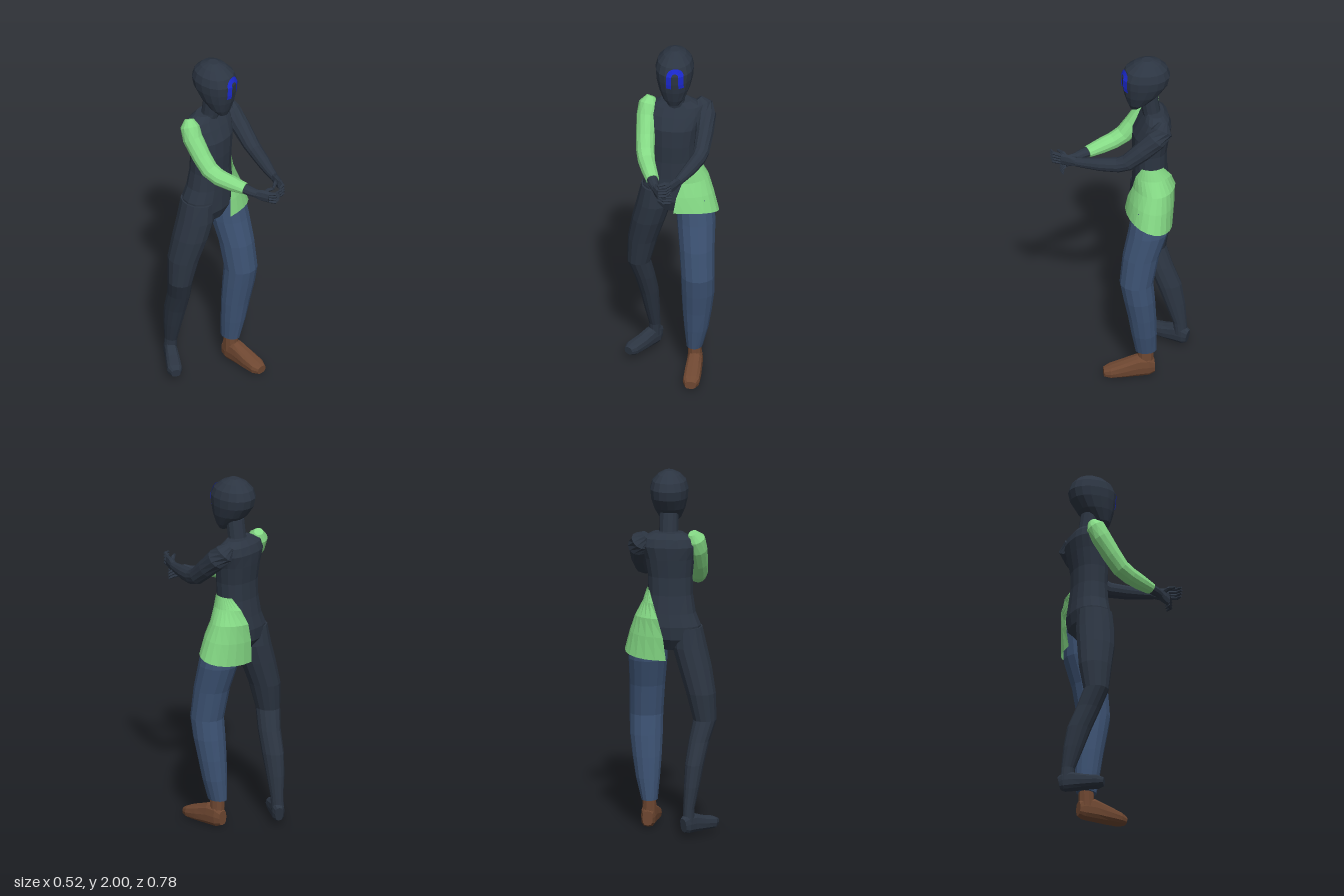
import * as THREE from 'three';

const mat = (name, color) => Object.assign(new THREE.MeshStandardMaterial({ color }), { name });
const V = (x, y, z) => new THREE.Vector3(x, y, z);
const UP = V(0, 1, 0), FRONT = V(0, 0, 1);

// Faceted geometry from points and triangle indices
function faceted(points, index) {
  const g = new THREE.BufferGeometry().setFromPoints(points);
  g.setIndex(index);
  const flat = g.toNonIndexed();
  flat.computeVertexNormals();
  return flat;
}

// Loft of oval rings [x, y, z, sideRadius, refRadius]; ring axis follows the path unless fixed
function loft(rings, ref, sides = 12, axis = null, power = 1) {
  const c = rings.map(r => V(r[0], r[1], r[2]));
  const pts = [], idx = [], n = rings.length;
  const bend = s => Math.sign(s) * Math.abs(s) ** power;
  rings.forEach((r, i) => {
    const d = axis || c[Math.min(i + 1, n - 1)].clone().sub(c[Math.max(i - 1, 0)]).normalize();
    const u = d.clone().cross(ref).normalize(), v = u.clone().cross(d);
    for (let j = 0; j < sides; j++) {
      const t = (j / sides) * Math.PI * 2;
      pts.push(c[i].clone().addScaledVector(u, r[3] * bend(Math.cos(t)))
        .addScaledVector(v, (r[4] ?? r[3]) * bend(Math.sin(t))));
    }
  });
  for (let i = 0; i < n; i++) for (let j = 0; j < sides; j++) {
    const k = (j + 1) % sides, a = i * sides;
    if (i < n - 1) idx.push(a + j, a + sides + j, a + k, a + k, a + sides + j, a + sides + k);
    if (i === 0) idx.push(n * sides, j, k);
    if (i === n - 1) idx.push(n * sides + 1, a + k, a + j);
  }
  pts.push(c[0], c[n - 1]);
  return faceted(pts, idx);
}

export function createModel() {
  const dark = mat('charcoal', 0x2c3542), green = mat('leafGreen', 0x85da85);
  const denim = mat('denimBlue', 0x3d5374), brown = mat('shoeBrown', 0x6e4731);
  const blue = mat('markBlue', 0x1b29d0);
  green.side = blue.side = THREE.DoubleSide;
  const model = new THREE.Group();
  model.name = 'figure';
  const add = (name, geo, m) => {
    const mesh = new THREE.Mesh(geo, m);
    mesh.name = name;
    model.add(mesh);
  };

  // Head: [y, halfWidth, frontZ, backZ]
  const HX = 0.02;
  const skull = [
    [1.695, 0.03, -0.045, -0.09], [1.73, 0.06, -0.03, -0.14], [1.79, 0.086, -0.012, -0.21],
    [1.85, 0.101, -0.002, -0.253], [1.9, 0.105, 0, -0.265], [1.945, 0.093, -0.02, -0.25],
    [1.98, 0.062, -0.065, -0.215], [2.0, 0.025, -0.11, -0.17]];
  add('head', loft(skull.map(([y, w, f, b]) => [HX, y, (f + b) / 2, w, (f - b) / 2]), FRONT, 16, UP, 0.92), dark);
  add('neck', loft([[0.02, 1.62, -0.175, 0.066, 0.055], [0.02, 1.67, -0.16, 0.052, 0.05],
    [0.02, 1.77, -0.145, 0.052, 0.05]], FRONT, 12, UP), dark);

  // Arch-shaped face mark, laid on the curve of the face
  const faceZ = (x, y) => {
    const i = skull.findIndex(s => s[0] >= y), a = skull[i - 1], b = skull[i];
    const [, w, f, k] = a.map((s, j) => THREE.MathUtils.lerp(s, b[j], (y - a[0]) / (b[0] - a[0])));
    return (f + k) / 2 + (f - k) / 2 * Math.sqrt(1 - ((x - HX) / w) ** 2) + 0.005;
  };
  const mark = [], markIdx = [];
  const markRow = (ox, oy, ix, iy) => {
    for (const [x, y] of [[ox, oy], [ix, iy]]) mark.push(V(0.033 + x, y, faceZ(0.033 + x, y)));
  };
  for (const y of [1.825, 1.85, 1.875]) markRow(-0.047, y, -0.019, y);
  for (let i = 0; i <= 8; i++) {
    const t = Math.PI * (1 - i / 8), c = Math.cos(t), s = Math.sin(t);
    markRow(0.047 * c, 1.9 + 0.045 * s, 0.019 * c, 1.9 + 0.019 * s);
  }
  for (const y of [1.875, 1.85, 1.825]) markRow(0.047, y, 0.019, y);
  for (let i = 0; i < mark.length - 2; i += 2) markIdx.push(i, i + 1, i + 2, i + 1, i + 3, i + 2);
  add('faceMark', faceted(mark, markIdx.reverse()), blue);

  // Torso and hips
  add('torso', loft([
    [0.0, 1.015, -0.15, 0.06, 0.07], [-0.005, 1.08, -0.16, 0.15, 0.105], [0.0, 1.15, -0.165, 0.157, 0.107],
    [0.01, 1.22, -0.16, 0.138, 0.1], [0.01, 1.32, -0.155, 0.122, 0.092], [0.012, 1.42, -0.152, 0.122, 0.094],
    [0.015, 1.52, -0.16, 0.135, 0.1], [0.02, 1.59, -0.18, 0.152, 0.088], [0.025, 1.635, -0.185, 0.14, 0.07],
    [0.022, 1.665, -0.18, 0.085, 0.05]], FRONT, 16, UP, 0.85), dark);

  // Half skirt wrapping the left hip: [y, centreX, centreZ, radiusX, radiusZ, halfAngle, tilt]
  const skirt = [
    [1.345, 0.015, -0.155, 0.125, 0.105, 0.6, 0], [1.28, 0.02, -0.163, 0.14, 0.115, 1.02, 0],
    [1.2, 0.03, -0.17, 0.172, 0.12, 1.36, 0], [1.11, 0.04, -0.156, 0.193, 0.126, 1.58, 0.015],
    [1.0, 0.05, -0.143, 0.212, 0.128, 1.7, 0.035]];
  const cloth = [], clothIdx = [], N = 12;
  skirt.forEach(([y, cx, cz, rx, rz, h, k], i) => {
    for (let j = 0; j <= N; j++) {
      const t = h * (2 * j / N - 1);
      cloth.push(V(cx + rx * Math.cos(t), y + k * Math.sin(t), cz + rz * Math.sin(t)));
      const a = i * (N + 1) + j, b = a + N + 1;
      if (i < skirt.length - 1 && j < N) clothIdx.push(a, a + 1, b, a + 1, b + 1, b);
    }
  });
  add('halfSkirt', faceted(cloth, clothIdx), green);

  // Left leg and shoe
  add('leftTrouserLeg', loft([
    [0.13, 0.16, -0.117, 0.045, 0.058], [0.14, 0.28, -0.105, 0.066, 0.07], [0.146, 0.4, -0.093, 0.08, 0.078],
    [0.152, 0.52, -0.077, 0.09, 0.087], [0.153, 0.63, -0.062, 0.092, 0.092], [0.145, 0.8, -0.088, 0.097, 0.1],
    [0.137, 0.95, -0.13, 0.106, 0.11], [0.125, 1.1, -0.15, 0.1, 0.105]], FRONT, 14, UP), denim);
  add('leftAnkle', loft([[0.132, 0.07, -0.115, 0.04, 0.045], [0.13, 0.18, -0.117, 0.036, 0.043]], FRONT, 10, UP), brown);
  add('leftShoe', loft([
    [0.135, 0.06, -0.162, 0.028, 0.04], [0.135, 0.066, -0.13, 0.04, 0.06], [0.135, 0.067, -0.07, 0.043, 0.062],
    [0.133, 0.052, 0.01, 0.047, 0.047], [0.131, 0.04, 0.08, 0.046, 0.034], [0.13, 0.035, 0.115, 0.03, 0.022]],
    UP, 12, FRONT, 0.7), brown);

  // Right leg and turned-out foot
  add('rightLeg', loft([
    [-0.11, 0.08, -0.342, 0.033, 0.038], [-0.11, 0.16, -0.335, 0.031, 0.038], [-0.123, 0.28, -0.31, 0.043, 0.056],
    [-0.135, 0.4, -0.28, 0.052, 0.068], [-0.155, 0.52, -0.235, 0.057, 0.068], [-0.182, 0.63, -0.2, 0.064, 0.07],
    [-0.16, 0.78, -0.195, 0.082, 0.092], [-0.125, 0.92, -0.175, 0.093, 0.105],
    [-0.095, 1.03, -0.165, 0.096, 0.108], [-0.085, 1.14, -0.162, 0.08, 0.1]], FRONT, 14, UP), dark);
  add('rightFoot', loft([
    [-0.085, 0.075, -0.375, 0.022, 0.04], [-0.1, 0.08, -0.355, 0.034, 0.053], [-0.13, 0.08, -0.315, 0.036, 0.053],
    [-0.17, 0.07, -0.265, 0.04, 0.042], [-0.22, 0.062, -0.205, 0.042, 0.034], [-0.238, 0.06, -0.178, 0.026, 0.022]],
    UP, 12, null, 0.75), dark);

  // Arms
  add('rightSleeve', loft([
    [-0.115, 1.665, -0.195, 0.025], [-0.128, 1.63, -0.178, 0.053], [-0.135, 1.57, -0.15, 0.056],
    [-0.135, 1.48, -0.085, 0.052], [-0.13, 1.415, -0.03, 0.05], [-0.118, 1.385, 0.03, 0.047],
    [-0.096, 1.37, 0.1, 0.043], [-0.07, 1.357, 0.175, 0.037, 0.031]], UP), green);
  add('rightForearm', loft([
    [-0.077, 1.36, 0.155, 0.033, 0.028], [-0.062, 1.35, 0.21, 0.028, 0.026], [-0.048, 1.343, 0.245, 0.022, 0.024]], UP, 10), dark);
  add('leftArm', loft([
    [0.135, 1.65, -0.21, 0.03, 0.03], [0.165, 1.615, -0.2, 0.06, 0.058], [0.185, 1.58, -0.165, 0.058, 0.06],
    [0.187, 1.51, -0.09, 0.049, 0.055], [0.178, 1.44, -0.01, 0.044, 0.048], [0.165, 1.42, 0.04, 0.04, 0.042],
    [0.13, 1.408, 0.13, 0.036, 0.038], [0.095, 1.4, 0.21, 0.028, 0.03], [0.075, 1.397, 0.26, 0.022, 0.025]], UP), dark);

  // Hands: palm, four curled fingers and a thumb
  const hand = (side, wrist, knuckle, bend, tip, thumbTip) => {
    const mid = wrist.clone().lerp(knuckle, 0.5);
    const ring = (p, a, b) => [...p.toArray(), a, b];
    add(side + 'Palm', loft([ring(wrist, 0.02, 0.023), ring(mid, 0.018, 0.036), ring(knuckle, 0.014, 0.034)], UP, 8), dark);
    for (let i = 0; i < 4; i++) {
      const off = 1.5 - i, reach = [0.93, 1, 0.96, 0.82][i];
      const at = (p, gap) => p.clone().add(V(0, off * gap, 0));
      const end = bend.clone().lerp(tip, reach);
      add(side + 'Finger', loft([ring(at(knuckle, 0.016), 0.011, 0.009), ring(at(bend, 0.018), 0.01, 0.009),
        ring(at(end, 0.017), 0.005, 0.005)], UP, 6), dark);
    }
    const half = mid.clone().lerp(thumbTip, 0.55).add(V(0, 0.012, 0));
    add(side + 'Thumb', loft([ring(mid, 0.013, 0.013), ring(half, 0.011, 0.011), ring(thumbTip, 0.006, 0.006)], UP, 6), dark);
  };
  hand('right', V(-0.053, 1.345, 0.235), V(-0.018, 1.332, 0.305), V(0.005, 1.327, 0.33), V(0.05, 1.325, 0.322), V(0.03, 1.365, 0.3));
  hand('left', V(0.078, 1.397, 0.25), V(0.04, 1.4, 0.335), V(0.018, 1.4, 0.375), V(-0.02, 1.4, 0.385), V(-0.025, 1.415, 0.345));

  return model;
}
